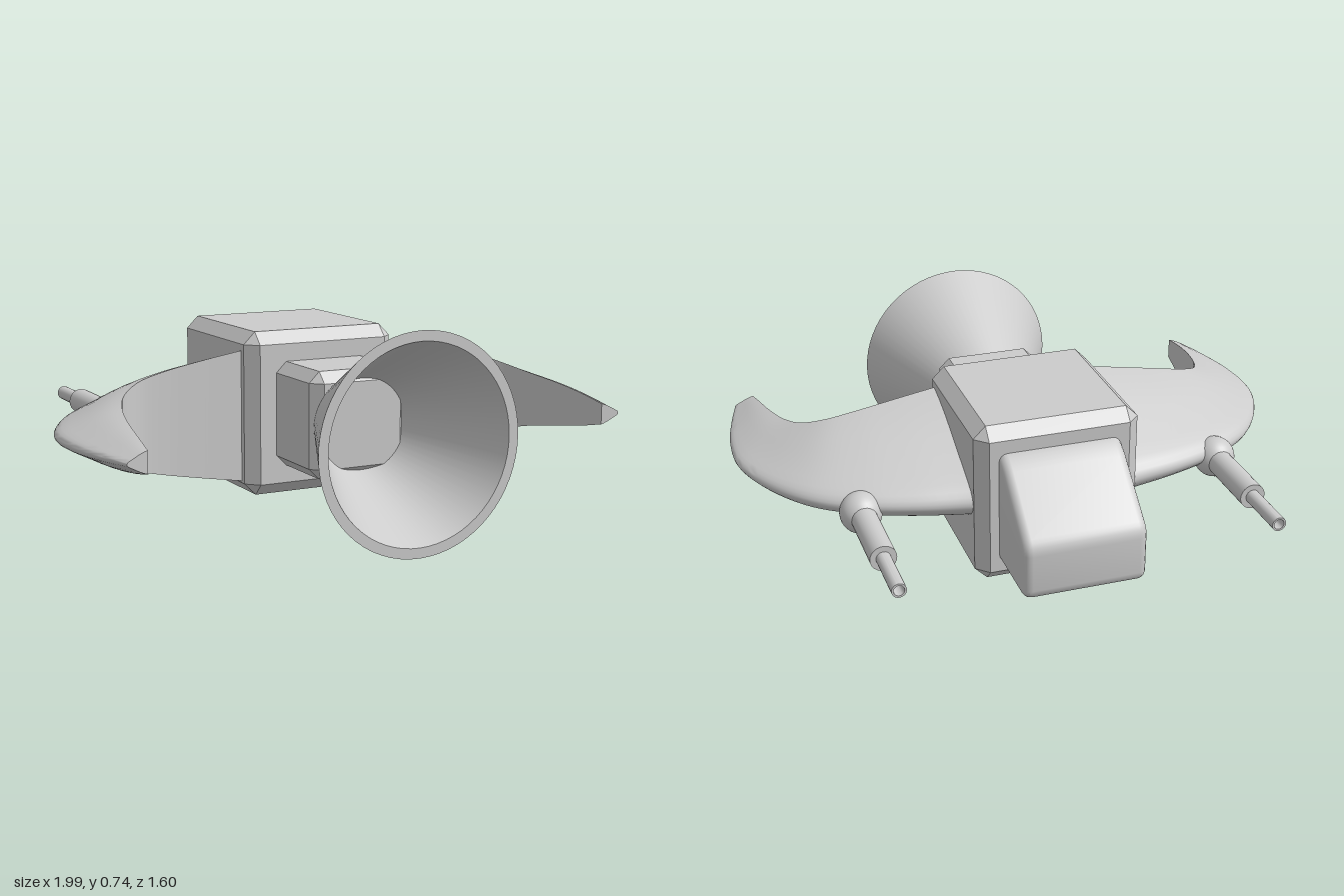
import * as THREE from 'three';
import { toCreasedNormals } from 'three/addons/utils/BufferGeometryUtils.js';
import { ConvexGeometry } from 'three/addons/geometries/ConvexGeometry.js';

const material = new THREE.MeshStandardMaterial({ color: 0xcccccc });
const V = (x, y, z) => new THREE.Vector3(x, y, z);

function part(name, geometry, x = 0, y = 0, z = 0) {
  const mesh = new THREE.Mesh(geometry, material);
  mesh.name = name;
  mesh.position.set(x, y, z);
  return mesh;
}

// Box with flat chamfers on every edge; c is the chamfer width
function chamferBox(w, h, d, c) {
  const [x, y, z] = [w / 2, h / 2, d / 2];
  const points = [];
  for (const i of [-1, 1]) for (const j of [-1, 1]) for (const k of [-1, 1]) {
    points.push(
      V(i * x, j * (y - c), k * (z - c)),
      V(i * (x - c), j * y, k * (z - c)),
      V(i * (x - c), j * (y - c), k * z));
  }
  return new ConvexGeometry(points);
}

// Turned part with crisp edges, its axis turned from y to dir * z
function turned(profile, segments, dir) {
  const lathe = new THREE.LatheGeometry(profile.map(([r, y]) => new THREE.Vector2(r, y)), segments);
  return toCreasedNormals(lathe.rotateX(dir * Math.PI / 2), 0.5);
}

// Sloped cabin with bevelled edges, drawn in side profile and extruded across x
function cabinGeometry() {
  const bevel = 0.03;
  const shape = new THREE.Shape();
  shape.moveTo(0.38, 0.195);
  shape.lineTo(0.685, 0.195);
  shape.quadraticCurveTo(0.695, 0.195, 0.695, 0.205);
  shape.lineTo(0.695, 0.33);
  shape.quadraticCurveTo(0.695, 0.35, 0.68, 0.363);
  shape.lineTo(0.5, 0.515);
  shape.quadraticCurveTo(0.475, 0.535, 0.45, 0.545);
  shape.lineTo(0.38, 0.545);
  const g = new THREE.ExtrudeGeometry(shape, {
    depth: 0.37, bevelEnabled: true, bevelThickness: bevel, bevelSize: bevel, bevelSegments: 4, curveSegments: 4,
  });
  // profile x becomes -z, extrusion becomes x
  g.translate(0, 0, -0.185).rotateY(Math.PI / 2);
  return toCreasedNormals(g, 0.5);
}

// Swept wing: flat inner face, tapering to a rounded outer edge
function wingGeometry(side) {
  const outer = new THREE.CatmullRomCurve3([
    [0.2, -0.43], [0.29, -0.405], [0.47, -0.365], [0.64, -0.305], [0.8, -0.205],
    [0.92, -0.05], [0.99, 0.13], [0.99, 0.32], [0.96, 0.48], [0.925, 0.615],
  ].map(([x, z]) => V(x, 0, z)));
  // y holds the half height of the section
  const inner = new THREE.CatmullRomCurve3([
    [0.2, 0.245, 0.065], [0.29, 0.232, 0.065], [0.45, 0.205, 0.065], [0.58, 0.18, 0.07], [0.68, 0.155, 0.09],
    [0.755, 0.125, 0.15], [0.8, 0.1, 0.25], [0.83, 0.08, 0.38], [0.845, 0.06, 0.5], [0.855, 0.037, 0.61],
  ].map((p) => V(...p)));
  // Half section: [fraction from inner to outer edge, fraction of half height]
  const half = [[0, 1], [0.14, 0.93], [0.3, 0.81], [0.46, 0.67], [0.63, 0.5], [0.78, 0.36],
    [0.88, 0.26], [0.94, 0.19], [0.975, 0.12], [0.994, 0.055]];
  const section = [...half, [1, 0], ...half.map(([t, f]) => [t, -f]).reverse()];
  const n = section.length, steps = 54;
  const positions = [], index = [];
  const face = (a, b, c) => (side > 0 ? index.push(a, b, c) : index.push(a, c, b));

  for (let i = 0; i <= steps; i++) {
    const a = inner.getPoint(i / steps), b = outer.getPoint(i / steps);
    for (const [t, f] of section) {
      positions.push(side * (a.x + (b.x - a.x) * t), 0.367 + a.y * f, a.z + (b.z - a.z) * t);
    }
  }
  for (let i = 0; i < steps; i++) for (let j = 0; j < n; j++) {
    const k = (j + 1) % n, p = i * n, q = p + n;
    face(p + j, q + j, p + k);
    face(q + j, q + k, p + k);
  }
  // Tip cap
  for (let j = 1; j < n - 1; j++) face(steps * n, steps * n + j + 1, steps * n + j);

  const g = new THREE.BufferGeometry();
  g.setAttribute('position', new THREE.Float32BufferAttribute(positions, 3));
  g.setIndex(index);
  return toCreasedNormals(g, 0.6);
}

// Ball mount with a stepped, hollow-ended barrel pointing back
function gun(name, x) {
  const group = new THREE.Group();
  group.name = name;
  group.position.set(x, 0.345, -0.285);
  group.add(part('ballMount', new THREE.SphereGeometry(0.073, 28, 18)));
  group.add(part('barrel', turned([
    [0, 0], [0.045, 0], [0.045, 0.315], [0.025, 0.315], [0.025, 0.515], [0.018, 0.515], [0.018, 0.43], [0, 0.43],
  ], 24, -1)));
  return group;
}

export function createModel() {
  const model = new THREE.Group();
  model.name = 'spacecraft';
  model.add(part('body', chamferBox(0.58, 0.58, 0.585, 0.043), 0, 0.375, -0.1625));
  model.add(part('neck', chamferBox(0.37, 0.37, 0.4, 0.038), 0, 0.375, 0.215));
  model.add(part('cabin', cabinGeometry()));

  // Open flared horn with a thin wall
  model.add(part('horn', turned([
    [0.14, 0.36], [0.159, 0.36], [0.37, 0.795], [0.335, 0.795], [0.14, 0.36],
  ], 64, 1), 0, 0.37, 0));

  for (const [label, side] of [['left', 1], ['right', -1]]) {
    model.add(part(label + 'Wing', wingGeometry(side)));
    model.add(gun(label + 'Gun', side * 0.648));
  }
  return model;
}
